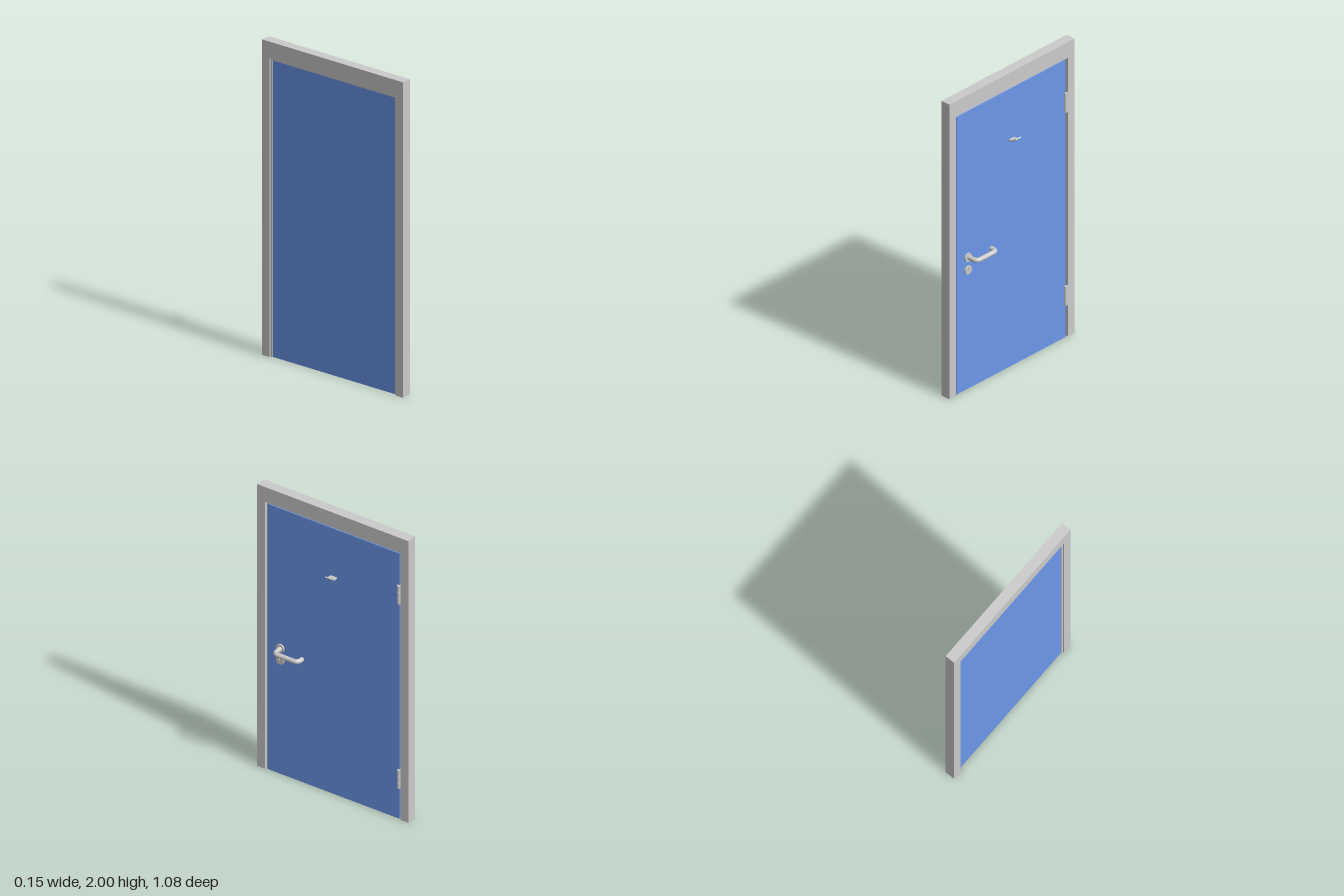
import * as THREE from 'three';

const grey = new THREE.MeshStandardMaterial({ color: 0xcccccc });
const blue = new THREE.MeshStandardMaterial({ color: 0x6b97ea });

export function createModel() {
  const model = new THREE.Group();

  const add = (name, geometry, material = grey) => {
    const mesh = new THREE.Mesh(geometry, material);
    mesh.name = name;
    model.add(mesh);
    return mesh;
  };

  // Upside-down U with legs on the floor, extruded along x from x0 to x1
  const archway = (name, outerZ, outerTop, innerZ, innerTop, x0, x1) => {
    const s = new THREE.Shape([
      [-outerZ, 0], [-innerZ, 0], [-innerZ, innerTop], [innerZ, innerTop],
      [innerZ, 0], [outerZ, 0], [outerZ, outerTop], [-outerZ, outerTop],
    ].map(([z, y]) => new THREE.Vector2(z, y)));
    const g = new THREE.ExtrudeGeometry(s, { depth: x1 - x0, bevelEnabled: false });
    g.rotateY(Math.PI / 2).translate(x0, 0, 0);
    return add(name, g);
  };

  // Frame, with a stop closing the gap around the leaf
  archway('frame', 0.54, 2, 0.483, 1.893, -0.075, -0.01);
  archway('frameStop', 0.483, 1.893, 0.47, 1.882, -0.065, -0.03);

  // Door leaf
  const leaf = add('doorLeaf', new THREE.BoxGeometry(0.043, 1.882, 0.942), blue);
  leaf.position.set(-0.0385, 0.941, 0);

  // Hinges: knuckles separated by fine joints
  for (const [label, y] of [['upper', 1.595], ['lower', 0.285]]) {
    for (let i = -1; i <= 1; i++) {
      const knuckle = add(label + 'HingeKnuckle', new THREE.CylinderGeometry(0.0125, 0.0125, 0.042, 20));
      knuckle.position.set(-0.014, y + i * 0.0433, -0.468);
    }
    add(label + 'HingePin', new THREE.CylinderGeometry(0.009, 0.009, 0.126, 12))
      .position.set(-0.014, y, -0.468);
  }

  // Lever handle: round bar bent out, across and back towards the leaf
  const P = (x, z) => new THREE.Vector3(x, 0.895, z);
  const path = new THREE.CurvePath();
  path.add(new THREE.LineCurve3(P(-0.018, 0.374), P(0.027, 0.374)));
  path.add(new THREE.QuadraticBezierCurve3(P(0.027, 0.374), P(0.057, 0.374), P(0.057, 0.344)));
  path.add(new THREE.LineCurve3(P(0.057, 0.344), P(0.057, 0.235)));
  path.add(new THREE.QuadraticBezierCurve3(P(0.057, 0.235), P(0.057, 0.205), P(0.027, 0.205)));
  path.add(new THREE.LineCurve3(P(0.027, 0.205), P(0.012, 0.205)));
  add('leverHandle', new THREE.TubeGeometry(path, 80, 0.015, 20));
  const cap = add('leverHandleEnd', new THREE.CircleGeometry(0.015, 20));
  cap.rotation.y = -Math.PI / 2;
  cap.position.set(0.012, 0.895, 0.205);

  // Round plates: one behind the lever, one pierced by a keyhole
  const plate = (name, y, hole) => {
    const s = new THREE.Shape().absarc(0, 0, 0.028, 0, Math.PI * 2);
    if (hole) s.holes.push(hole);
    const g = new THREE.ExtrudeGeometry(s, { depth: 0.011, bevelEnabled: false, curveSegments: 32 });
    g.rotateY(Math.PI / 2).translate(-0.017, y, 0.377);
    add(name, g);
  };
  const keyhole = new THREE.Path();
  keyhole.moveTo(-0.002, -0.004);
  keyhole.lineTo(0.002, -0.004);
  keyhole.lineTo(0.002, 0.007);
  keyhole.absarc(0, 0.010, 0.0045, -1.1, Math.PI + 1.1, false);
  keyhole.lineTo(-0.002, -0.004);
  plate('handleRosette', 0.895);
  plate('keyholePlate', 0.81, keyhole);

  // Coat hook: faceted curved strip, profile in x-y, extruded along z
  const hook = new THREE.Shape([
    [-0.018, 1.535], [-0.002, 1.536], [0.012, 1.540], [0.029, 1.550], [0.042, 1.562],
    [0.036, 1.567], [0.024, 1.556], [0.010, 1.548], [-0.002, 1.545], [-0.018, 1.545],
  ].map(([x, y]) => new THREE.Vector2(x, y)));
  add('coatHook', new THREE.ExtrudeGeometry(hook, { depth: 0.046, bevelEnabled: false })
    .translate(0, 0, -0.025));

  return model;
}
